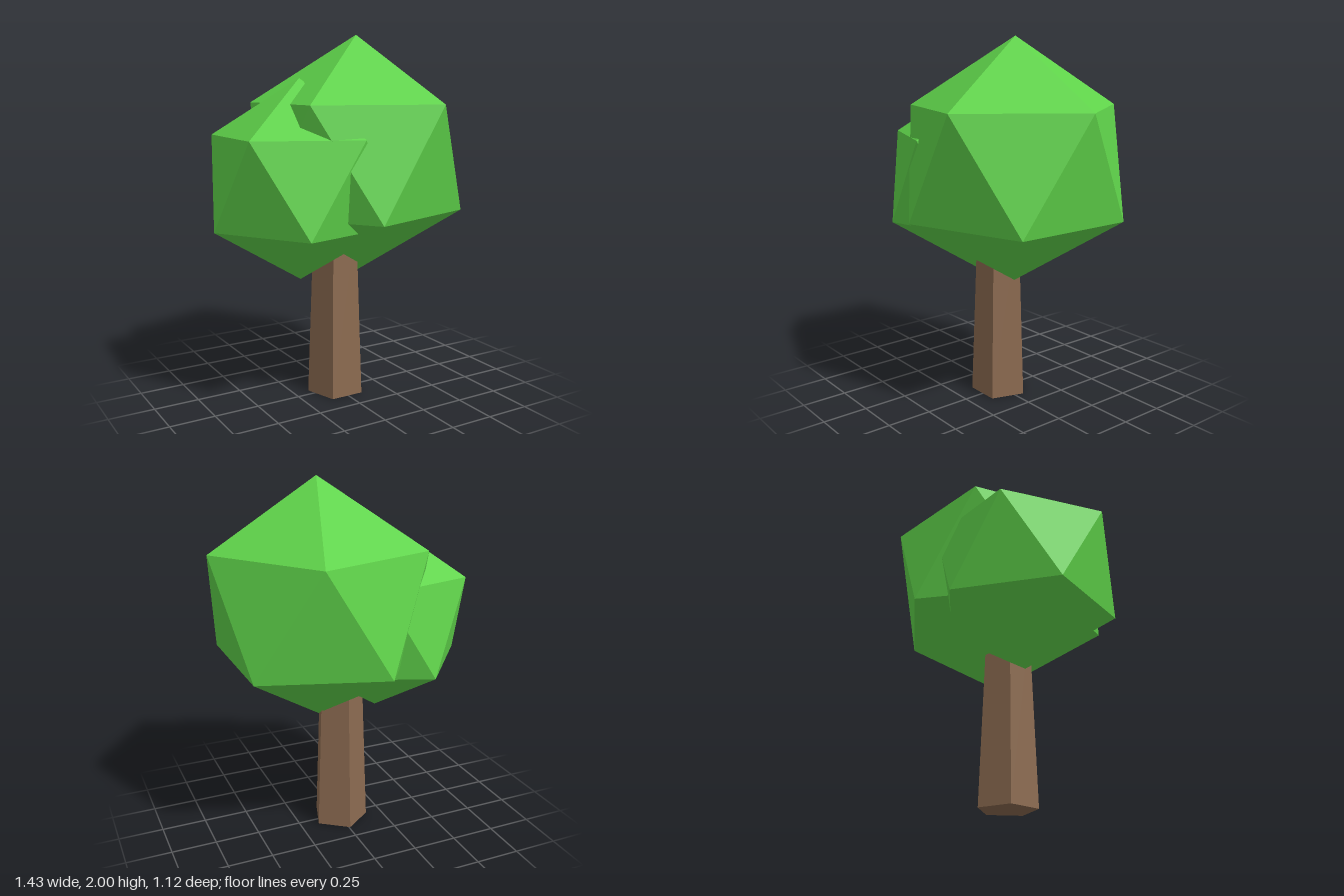
import * as THREE from 'three';

export function createModel() {
  const tree = new THREE.Group();
  tree.name = 'tree';
  const leaf = new THREE.MeshStandardMaterial({ color: 0x5fd34a, flatShading: true });
  const bark = new THREE.MeshStandardMaterial({ color: 0x8b6a50, flatShading: true });

  // Five-sided tapering trunk, its top hidden in the foliage
  const height = 1.0;
  const trunk = new THREE.Mesh(new THREE.CylinderGeometry(0.124, 0.161, height, 5), bark);
  trunk.name = 'trunk';
  trunk.rotation.y = Math.PI;
  trunk.position.set(-0.007, height / 2, 0);
  tree.add(trunk);

  // Icosahedron standing on a corner, turned about the vertical
  const tilt = Math.atan((1 + Math.sqrt(5)) / 2);
  function addFoliage(name, radius, x, y, turnDegrees) {
    const geometry = new THREE.IcosahedronGeometry(radius, 0);
    geometry.rotateX(-tilt);
    geometry.rotateY(THREE.MathUtils.degToRad(turnDegrees));
    const mesh = new THREE.Mesh(geometry, leaf);
    mesh.name = name;
    mesh.position.set(x, y, 0);
    tree.add(mesh);
  }
  addFoliage('largeFoliage', 0.658, 0.122, 1.342, 90);
  addFoliage('smallFoliage', 0.543, -0.23, 1.225, 86.4);

  return tree;
}
